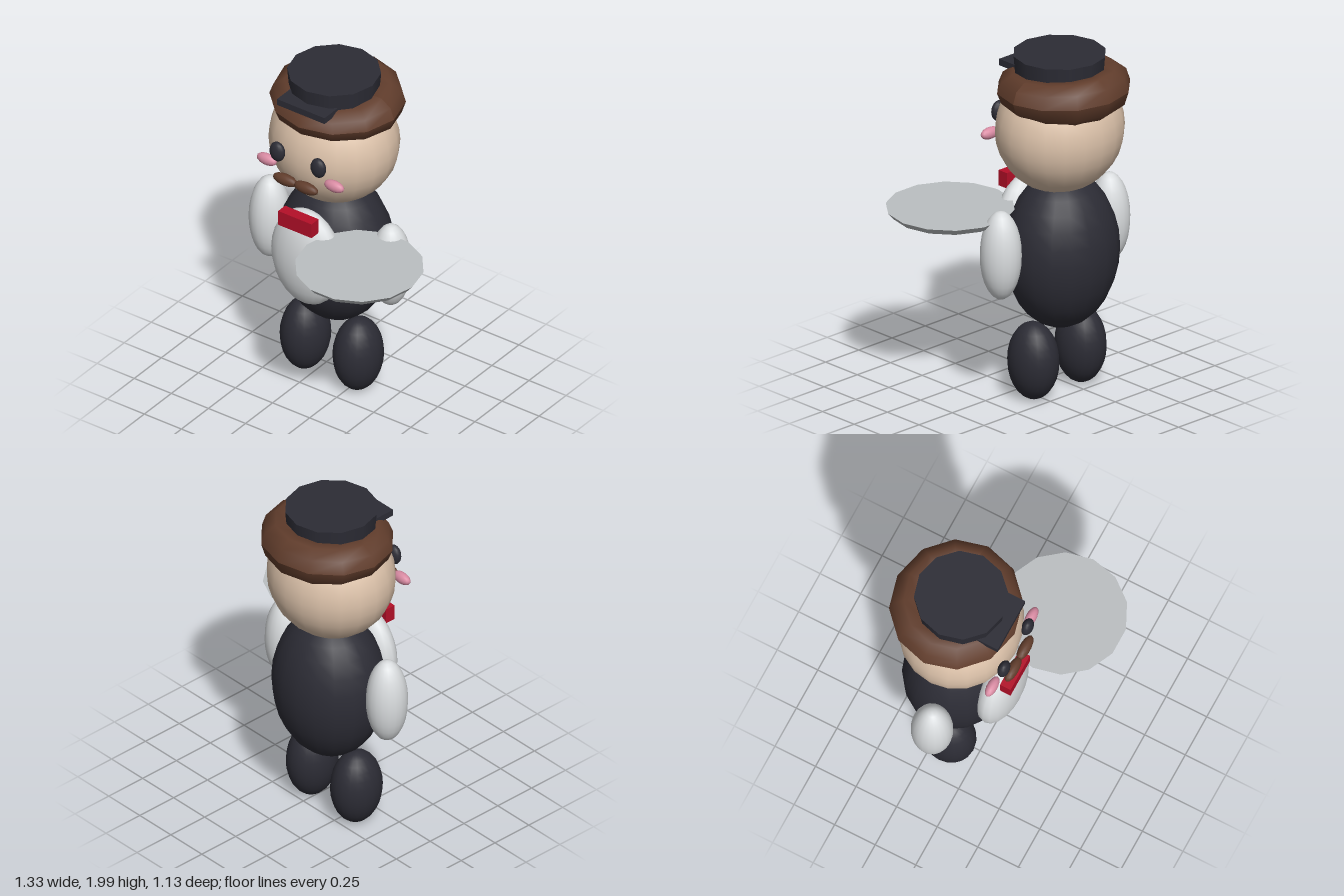
import * as THREE from 'three';

const mat = (name, color, extra = {}) => {
  const m = new THREE.MeshStandardMaterial({ color, ...extra });
  m.name = name;
  return m;
};

export function createModel() {
  const charcoal = mat('charcoal', 0x2c2c35);
  const skin = mat('skin', 0xdcc2aa);
  const brown = mat('brown', 0x613d2c);
  const pink = mat('pink', 0xd98ba3);
  const white = mat('white', 0xd9dcde);
  const red = mat('red', 0xb40f28);
  const silver = mat('silver', 0xbbbfc1);

  const group = new THREE.Group();
  group.name = 'waiter';
  const CX = -0.143; // the figure's own middle line

  const add = (name, geometry, material, x, y, z) => {
    const mesh = new THREE.Mesh(geometry, material);
    mesh.name = name;
    mesh.position.set(x, y, z);
    group.add(mesh);
    return mesh;
  };
  const ellipsoid = (name, material, x, y, z, rx, ry, rz, w = 20, h = 14) =>
    add(name, new THREE.SphereGeometry(1, w, h).scale(rx, ry, rz), material, x, y, z);

  // Torso and shirt front
  ellipsoid('body', charcoal, CX, 0.85, -0.19, 0.335, 0.45, 0.3, 18, 14);
  ellipsoid('shirtFront', white, CX, 0.92, 0.08, 0.225, 0.3, 0.115, 20, 14);
  add('bowTie', new THREE.BoxGeometry(0.225, 0.09, 0.065), red, CX, 1.185, 0.158);

  // Head
  ellipsoid('head', skin, CX, 1.56, -0.175, 0.37, 0.36, 0.34, 20, 16);

  // Paired parts, mirrored about the middle line
  for (const s of [-1, 1]) {
    const side = s > 0 ? 'left' : 'right';
    ellipsoid(side + 'Leg', charcoal, CX + s * 0.178, 0.231, -0.152, 0.135, 0.224, 0.152);
    ellipsoid(side + 'Arm', white, CX + s * 0.408, 0.91, -0.137, 0.115, 0.258, 0.117);
    ellipsoid(side + 'Eye', charcoal, CX + s * 0.138, 1.595, 0.163, 0.048, 0.06, 0.032, 14, 10);
    ellipsoid(side + 'Cheek', pink, CX + s * 0.227, 1.497, 0.138, 0.065, 0.034, 0.03, 14, 10);
    ellipsoid(side + 'Moustache', brown, CX + s * 0.07, 1.448, 0.183, 0.08, 0.034, 0.032, 14, 10);
  }

  // Ring of hair, thicker toward the back
  const hair = new THREE.TorusGeometry(0.26, 0.12, 10, 12).rotateX(-Math.PI / 2).scale(1, 1, 0.95);
  const p = hair.attributes.position;
  for (let i = 0; i < p.count; i++) {
    const t = p.getZ(i) / 0.36;
    p.setY(i, p.getY(i) * (0.93 - 0.16 * t) - 0.005 * t);
  }
  hair.computeVertexNormals();
  add('hair', hair, brown, CX, 1.807, -0.205);

  // Cap with a flat peak
  add('cap', new THREE.CylinderGeometry(0.258, 0.246, 0.14, 12), charcoal, CX, 1.93, -0.173);
  add('capPeak', new THREE.BoxGeometry(0.32, 0.038, 0.24), charcoal, CX, 1.896, 0.016);

  // Serving tray
  const tray = new THREE.CylinderGeometry(0.355, 0.325, 0.036, 14).rotateY(Math.PI / 2);
  add('tray', tray, silver, 0.31, 1.088, 0.215);

  return group;
}
